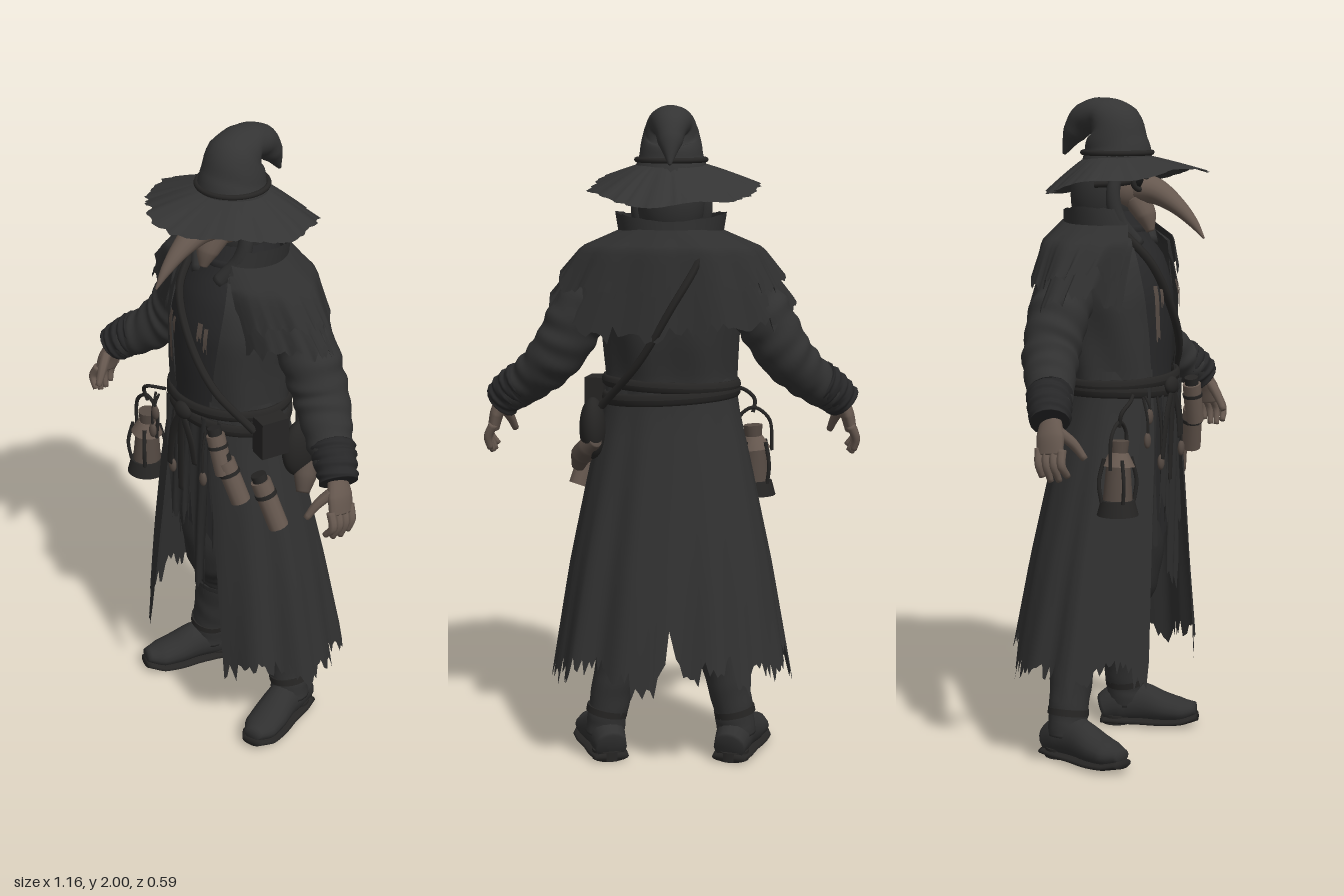
import * as THREE from 'three';

const mat = (name, color) => {
  const m = new THREE.MeshStandardMaterial({ color, side: THREE.DoubleSide });
  m.name = name;
  return m;
};
const hash = n => { const s = Math.sin(n * 127.1 + 3.7) * 43758.5453; return s - Math.floor(s); };
const lerp = THREE.MathUtils.lerp;
const V = p => new THREE.Vector3(p[0], p[1], p[2]);
// torn edge: broad shreds plus fine points
const torn = (i, a) => a * (0.55 * hash(Math.floor(i / 5)) + 0.45 * hash(i + 0.5));
// row of a table, interpolated on its first column
const row = (table, k) => {
  let i = 0;
  while (i < table.length - 2 && k > table[i + 1][0]) i++;
  const t = THREE.MathUtils.clamp((k - table[i][0]) / (table[i + 1][0] - table[i][0]), 0, 1);
  return table[i].map((a, n) => lerp(a, table[i + 1][n], t));
};
// point on an oval ring: half width, front z, back z
const oval = (phi, y, hx, zf, zb, off = 0) =>
  [(hx + off) * Math.sin(phi), y, (zf + zb) / 2 + ((zf - zb) / 2 + off) * Math.cos(phi)];

// rows of body: y, half width, front z, back z
const TORSO = [[1.08, .192, .172, -.12], [1.18, .183, .172, -.12], [1.3, .192, .178, -.15], [1.42, .21, .176, -.165],
  [1.52, .19, .152, -.165], [1.6, .12, .105, -.14], [1.68, .09, .07, -.12]];
const SKIRT = [[.2, .375, .235, -.3], [.6, .31, .218, -.23], [.9, .25, .205, -.17], [1.1, .205, .19, -.13], [1.2, .195, .18, -.125]];
const onTorso = (phi, y, off) => { const r = row(TORSO, y); return oval(phi, y, r[1], r[2], r[3], off); };

export function createModel() {
  const model = new THREE.Group();
  const M = {
    coat: mat('coat cloth', 0x313131), hat: mat('hat felt', 0x343434), cape: mat('cape cloth', 0x2f2f2f),
    vest: mat('vest cloth', 0x272728), trousers: mat('trouser cloth', 0x2b2b2b), boots: mat('boot leather', 0x303030),
    belt: mat('belt leather', 0x262524), bone: mat('mask and skin', 0x66584f), brass: mat('worn brass', 0x554a43),
    lens: mat('dark lens', 0x141414)
  };
  const add = (name, geo, m) => {
    const mesh = new THREE.Mesh(geo, m);
    mesh.name = name;
    model.add(mesh);
    return mesh;
  };
  // grid surface from f(u, v, column)
  const sheet = (name, m, nu, nv, f, closed = false) => {
    const pos = [], idx = [], w = closed ? nu : nu + 1;
    for (let j = 0; j <= nv; j++) for (let i = 0; i < w; i++) pos.push(...f(i / nu, j / nv, i));
    for (let j = 0; j < nv; j++) for (let i = 0; i < nu; i++) {
      const a = j * w + i, b = j * w + (i + 1) % w;
      idx.push(a, b, a + w, b, b + w, a + w);
    }
    const g = new THREE.BufferGeometry();
    g.setAttribute('position', new THREE.Float32BufferAttribute(pos, 3));
    g.setIndex(idx);
    g.computeVertexNormals();
    return add(name, g, m);
  };
  // tapered body along a curve through [x, y, z, radius, second radius]; ripples become cloth wrinkles
  const loft = (name, m, pts, { ref = [0, 0, 1], nu = 16, nv = 24, ripple = 0, waves = 9 } = {}) => {
    const curve = new THREE.CatmullRomCurve3(pts.map(V));
    const table = pts.map((p, i) => [i, p[3], p[4] ?? p[3]]);
    return sheet(name, m, nu, nv + 2, (u, v) => {
      const k = v * (nv + 2) - 1, t = THREE.MathUtils.clamp(k / nv, 0, 1);
      const c = curve.getPoint(t), T = curve.getTangent(t), r = row(table, t * (pts.length - 1));
      const side = V(ref).addScaledVector(T, -V(ref).dot(T)).normalize();
      const N = T.clone().cross(side), a = u * Math.PI * 2;
      const fold = Math.sin(t * waves * 6.283 + Math.sin(a) * 2) * (.65 + .35 * Math.sin(t * 17 + 2 * a));
      const s = k < 0 || k > nv ? 0 : 1 + ripple * fold;
      return c.addScaledVector(side, Math.cos(a) * r[1] * s).addScaledVector(N, Math.sin(a) * r[2] * s).toArray();
    }, true);
  };
  const rod = (name, m, a, b, r1, r2 = r1, seg = 12) => {
    const d = V(b).sub(V(a));
    const mesh = add(name, new THREE.CylinderGeometry(r2, r1, d.length(), seg), m);
    mesh.position.copy(V(a)).addScaledVector(d, 0.5);
    mesh.quaternion.setFromUnitVectors(new THREE.Vector3(0, 1, 0), d.normalize());
    return mesh;
  };
  const cord = (name, m, pts, r) => add(name, new THREE.TubeGeometry(new THREE.CatmullRomCurve3(pts.map(V)), 40, r, 6), m);
  const ball = (name, m, p, s) => {
    const mesh = add(name, new THREE.SphereGeometry(1, 24, 16), m);
    mesh.position.set(...p);
    mesh.scale.set(...s);
  };

  // vest under the coat
  sheet('vest', M.vest, 40, 16, (u, v) => onTorso(u * 6.2832, 1.08 + v * .6, 0), true);
  // upper coat, open down the chest
  sheet('coatBody', M.coat, 60, 14, (u, v) => {
    const y = 1.6 - v * .46, o = lerp(.62, .42, v);
    return onTorso(lerp(o, 6.2832 - o, u), y, .014 + .005 * Math.sin(u * 37 + y * 9));
  });
  // long coat skirt with folds, a torn hem and a back vent
  sheet('coatSkirt', M.coat, 170, 14, (u, v, i) => {
    const o = lerp(.4, .5, v), phi = lerp(o, 6.2832 - o, u);
    const hem = .22 + torn(i, .15) + .15 * Math.max(0, 1 - Math.abs(phi - Math.PI) / .14);
    const y = lerp(1.2, hem, v), r = row(SKIRT, y);
    return oval(phi, y, r[1], r[2], r[3], v * (.009 * Math.sin(phi * 9 + 1) + .006 * Math.sin(phi * 14 + 2 * v)));
  });
  // tunic and torn front strips
  sheet('tunic', M.vest, 70, 8, (u, v, i) => {
    const y = lerp(1.16, .66 + torn(i % 70, .14), v);
    return oval(u * 6.2832, y, .18 + .02 * v, .168, -.1 - .03 * v, .005 * Math.sin(u * 80));
  }, true);
  for (const [x, w, end] of [[-.085, .07, .62], [-.025, .06, .68], [.04, .08, .48], [.1, .06, .6]])
    sheet('frontStrip', M.trousers, 9, 8, (u, v, i) => {
      const y = lerp(1.15, end + torn(i + x * 900, .16), v);
      return [x + (u - .5) * w * (1 - .25 * v), y, .188 - x * x * 2 + .006 * Math.sin(u * 9 + v * 5)];
    });
  // ragged cloth showing on the chest
  for (const [phi, top, bottom, w] of [[-.36, 1.45, 1.24, .08], [-.25, 1.44, 1.34, .06], [.25, 1.46, 1.36, .08], [.35, 1.45, 1.33, .06]])
    sheet('chestRag', M.brass, 6, 5, (u, v, i) =>
      onTorso(phi + (u - .5) * w, lerp(top, bottom + torn(i + 9, .08), v), .022));

  // shoulder cape in two torn layers
  const CAPE = [[0, .13, .1, -.14, 1.625], [.5, .262, .145, -.18, 1.567], [1, .372, .14, -.198, 0]];
  const capeLayer = (name, end, off, low, back, rag, open) => sheet(name, M.cape, 110, 12, (u, v, i) => {
    const phi = lerp(open, 6.2832 - open, u), s = v * end, r = row(CAPE, s);
    const hem = low - back * Math.max(0, -Math.cos(phi)) + torn(i, rag);
    const y = s < .5 ? r[4] : lerp(1.567, hem, (s - .5) / (end - .5));
    return oval(phi, y + off, r[1], r[2], r[3], off + .006 * v * Math.sin(phi * 11));
  });
  capeLayer('lowerCape', 1, 0, 1.37, .09, .09, .5);
  capeLayer('upperCape', .8, .012, 1.44, .03, .07, .6);
  // flared standing collar
  sheet('collar', M.cape, 60, 6, (u, v, i) => {
    const phi = lerp(.62, 5.663, u);
    return oval(phi, lerp(1.57, 1.66 + .02 * Math.sin(phi) ** 2 + torn(i, .008), v), lerp(.15, .168, v), lerp(.14, .1, v), lerp(-.15, -.14, v));
  });
  // hood and neck wraps
  ball('hood', M.cape, [0, 1.71, -.025], [.1, .14, .108]);
  for (const [y, r] of [[1.62, .086], [1.59, .098], [1.56, .108]]) {
    const wrap = add('neckWrap', new THREE.TorusGeometry(r, .022, 8, 32), M.vest);
    wrap.position.set(0, y, -.003);
    wrap.rotation.x = Math.PI / 2 + .15;
  }
  for (const s of [1, -1])
    loft('hoodEdge', M.cape, [[s * .05, 1.81, .07, .02], [s * .097, 1.74, .05, .02], [s * .095, 1.65, .06, .024], [s * .045, 1.565, .105, .022]]);

  // beaked mask
  ball('maskFace', M.bone, [0, 1.735, .045], [.08, .075, .068]);
  loft('beak', M.bone, [[0, 1.735, .07, .062, .05], [0, 1.725, .14, .046, .04], [0, 1.685, .21, .03, .026],
    [0, 1.635, .265, .016, .015], [0, 1.59, .3, .003]], { ref: [1, 0, 0] });
  loft('maskJaw', M.bone, [[0, 1.7, .08, .055, .04], [0, 1.65, .11, .038, .03], [0, 1.605, .125, .012]], { ref: [1, 0, 0] });
  for (const s of [1, -1]) {
    const rim = add('goggleRim', new THREE.TorusGeometry(.025, .009, 8, 20), M.belt);
    rim.position.set(s * .047, 1.757, .112);
    rim.rotation.y = s * .45;
    ball('goggleLens', M.lens, [s * .046, 1.757, .108], [.023, .023, .012]);
    cord('maskStrap', M.belt, [[s * .065, 1.757, .1], [s * .09, 1.75, .06], [s * .104, 1.745, -.01]], .009);
  }

  // hat: ragged drooping brim, bent crown and band
  sheet('hatBrim', M.hat, 110, 8, (u, v, i) => {
    const phi = u * 6.2832, c = Math.cos(phi);
    const edge = (c > 0 ? lerp(1.755, 1.79, c) : lerp(1.755, 1.712, -c)) - .008 * Math.sin(phi * 5);
    const R = lerp(.085, .268 - torn(i, .04) + .008 * Math.sin(phi * 3), v);
    return [Math.sin(phi) * R, lerp(1.83, edge, v ** 1.15), lerp(.015, .035, v) + c * R];
  }, true);
  loft('hatCrown', M.hat, [[0, 1.805, .015, .108], [0, 1.86, .014, .096], [0, 1.92, 0, .083], [0, 1.948, -.04, .066, .052],
    [0, 1.936, -.092, .052, .049], [0, 1.893, -.132, .036, .036], [0, 1.83, -.166, .005]], { ref: [1, 0, 0], nu: 28, nv: 36, ripple: .02, waves: 5 });
  const band = add('hatBand', new THREE.TorusGeometry(.104, .008, 8, 40), M.belt);
  band.position.set(0, 1.838, .014);
  band.rotation.x = Math.PI / 2;

  // arms, hands, legs and boots
  for (const s of [1, -1]) {
    loft('sleeve', M.coat, [[s * .18, 1.49, -.04, .08], [s * .275, 1.375, -.04, .09], [s * .348, 1.255, -.03, .083],
      [s * .435, 1.168, .015, .068], [s * .52, 1.105, .06, .053]], { nu: 24, nv: 80, ripple: .05, waves: 8 });
    loft('wristWrap', M.vest, [[s * .45, 1.165, .02, .066], [s * .49, 1.135, .042, .063], [s * .527, 1.097, .063, .057]],
      { nv: 40, ripple: .07, waves: 4 });
    loft('palm', M.bone, [[s * .515, 1.11, .06, .03, .024], [s * .54, 1.06, .07, .043, .022], [s * .553, 1.01, .076, .042, .018]]);
    for (let k = 0; k < 4; k++) {
      const z = .04 + k * .024, drop = [.012, 0, .002, .016][k];
      loft('finger', M.bone, [[s * .55, 1.025, z, .014], [s * .568, .985, z + .008, .013], [s * (.562 - k * .006), .935 + drop, z + .016, .009]], { nu: 8, nv: 10 });
    }
    loft('thumb', M.bone, [[s * .53, 1.075, .09, .017], [s * .508, 1.04, .125, .015], [s * .492, .995, .155, .01]], { nu: 8, nv: 10 });

    loft('trouserLeg', M.trousers, [[s * .09, 1.05, .02, .09], [s * .095, .75, .04, .088], [s * .1, .52, .02, .082],
      [s * .125, .42, -.03, .076], [s * .142, .34, -.05, .06]], { nv: 50, ripple: .03, waves: 6 });
    loft('bootShaft', M.boots, [[s * .205, .07, -.055, .06], [s * .196, .14, -.056, .06], [s * .172, .26, -.056, .066],
      [s * .147, .37, -.052, .075], [s * .146, .38, -.052, .072]], { nv: 40, ripple: .025, waves: 5 });
    loft('bootCuff', M.boots, [[s * .153, .335, -.053, .074], [s * .149, .355, -.053, .079], [s * .146, .38, -.052, .074]]);
    rod('ankleStrap', M.belt, [s * .2, .135, -.055], [s * .196, .155, -.055], .064, .064, 20);
    const foot = [[0, .045, -.085, .048, .045], [0, .066, -.03, .056, .066], [0, .07, .04, .054, .064], [0, .056, .11, .059, .048],
      [0, .05, .17, .056, .037], [0, .056, .218, .028, .02]];
    const boot = new THREE.Group();
    boot.name = 'bootFootGroup';
    boot.position.set(s * .205, 0, -.045);
    boot.rotation.y = s * .3;
    boot.add(loft('bootFoot', M.boots, foot, { ref: [1, 0, 0] }),
      loft('bootSole', M.belt, foot.map(p => [0, .014 + Math.max(0, p[2] - .15) * .25, p[2] * 1.02, p[3] + .006, .014]), { ref: [1, 0, 0] }),
      rod('bootHeel', M.belt, [0, 0, -.04], [0, .03, -.04], .05, .05, 20));
    model.add(boot);
  }

  // wrapped belt, knot and hanging ties
  for (const [y, r, tilt] of [[1.165, .018, .008], [1.13, .02, -.012]])
    sheet('belt', M.belt, 60, 10, (u, v) => {
      const phi = u * 6.2832, a = v * 6.2832;
      return oval(phi, y + r * Math.sin(a) + tilt * Math.sin(phi), .197, .183, -.13, .01 * Math.cos(a) + .006);
    }, true);
  ball('beltKnot', M.belt, [-.01, 1.145, .2], [.035, .028, .018]);
  for (const [x, end] of [[-.05, .93], [-.015, .86], [.03, .98]])
    loft('beltTie', M.belt, [[-.01, 1.14, .205, .006, .014], [x, 1.06, .205, .005, .016], [x * 1.5, end, .203, .003, .012]], { nu: 8 });

  // shoulder strap
  cord('strapFront', M.belt, [[-.1, 1.6, .09], [-.07, 1.52, .158], [0, 1.4, .186], [.1, 1.26, .175], [.2, 1.13, .1]], .013);
  cord('strapBack', M.belt, [[-.1, 1.6, .09], [-.12, 1.638, -.02], [-.1, 1.59, -.15], [-.07, 1.52, -.19], [-.01, 1.42, -.207], [.09, 1.25, -.17], [.21, 1.1, -.07]], .012);
  // left hip pouch, horn and bottles
  const pouch = add('pouch', new THREE.BoxGeometry(.06, .12, .09), M.belt);
  pouch.position.set(.228, 1.115, .06);
  pouch.rotation.y = -.2;
  ball('roundPouch', M.belt, [.238, 1.03, -.05], [.04, .095, .066]);
  loft('horn', M.brass, [[.225, 1.0, -.1, .02], [.25, .975, -.07, .032], [.272, .945, -.04, .034], [.285, .905, -.02, .02]]);
  for (const [a, b, r] of [[[.14, 1.13, .2], [.175, 1.01, .195], .028], [[.17, 1.05, .19], [.215, .92, .165], .03],
    [[.24, .98, .11], [.29, .83, .08], .031]]) {
    rod('bottle', M.bone, b, a, r);
    const up = V(a).sub(V(b)).normalize().multiplyScalar(.022).add(V(a)).toArray();
    rod('bottleNeck', M.belt, a, up, r * .75);
    rod('bottleBand', M.belt, V(a).lerp(V(b), .25).toArray(), V(a).lerp(V(b), .33).toArray(), r + .003);
  }

  // lantern on the right hip
  const L = (dx, y, dz) => [-.262 + dx, y, .145 + dz];
  rod('lanternBase', M.belt, L(0, .79, 0), L(0, .835, 0), .062, .05, 24);
  rod('lanternGlass', M.brass, L(0, .835, 0), L(.004, .935, 0), .044, .036, 16);
  rod('lanternCap', M.bone, L(.004, .935, 0), L(.008, .975, 0), .05, .028, 16);
  rod('lanternChimney', M.brass, L(.008, .975, 0), L(.01, 1.01, 0), .026, .03, 16);
  for (let k = 0; k < 4; k++) {
    const a = k * 1.5708 + .8, c = Math.cos(a), d = Math.sin(a);
    cord('lanternPost', M.belt, [L(c * .05, .83, d * .05), L(c * .058, .89, d * .058), L(c * .042, .96, d * .042)], .006);
  }
  cord('lanternHandle', M.belt, [L(-.05, .93, 0), L(-.04, 1.03, 0), L(.01, 1.065, 0), L(.055, 1.03, 0), L(.05, .93, 0)], .006);
  cord('lanternHook', M.belt, [L(.1, 1.13, 0), L(.04, 1.12, .02), L(.005, 1.09, .01), L(.01, 1.05, 0)], .006);
  // charms on the belt
  for (const [x, y] of [[-.15, 1.07], [-.165, 1.0], [-.07, .92], [.075, .94]]) {
    cord('charmCord', M.belt, [[x, 1.13, .18], [x, (y + 1.13) / 2, .195], [x, y, .195]], .004);
    ball('charm', M.brass, [x, y, .195], [.014, .024, .01]);
  }
  return model;
}
